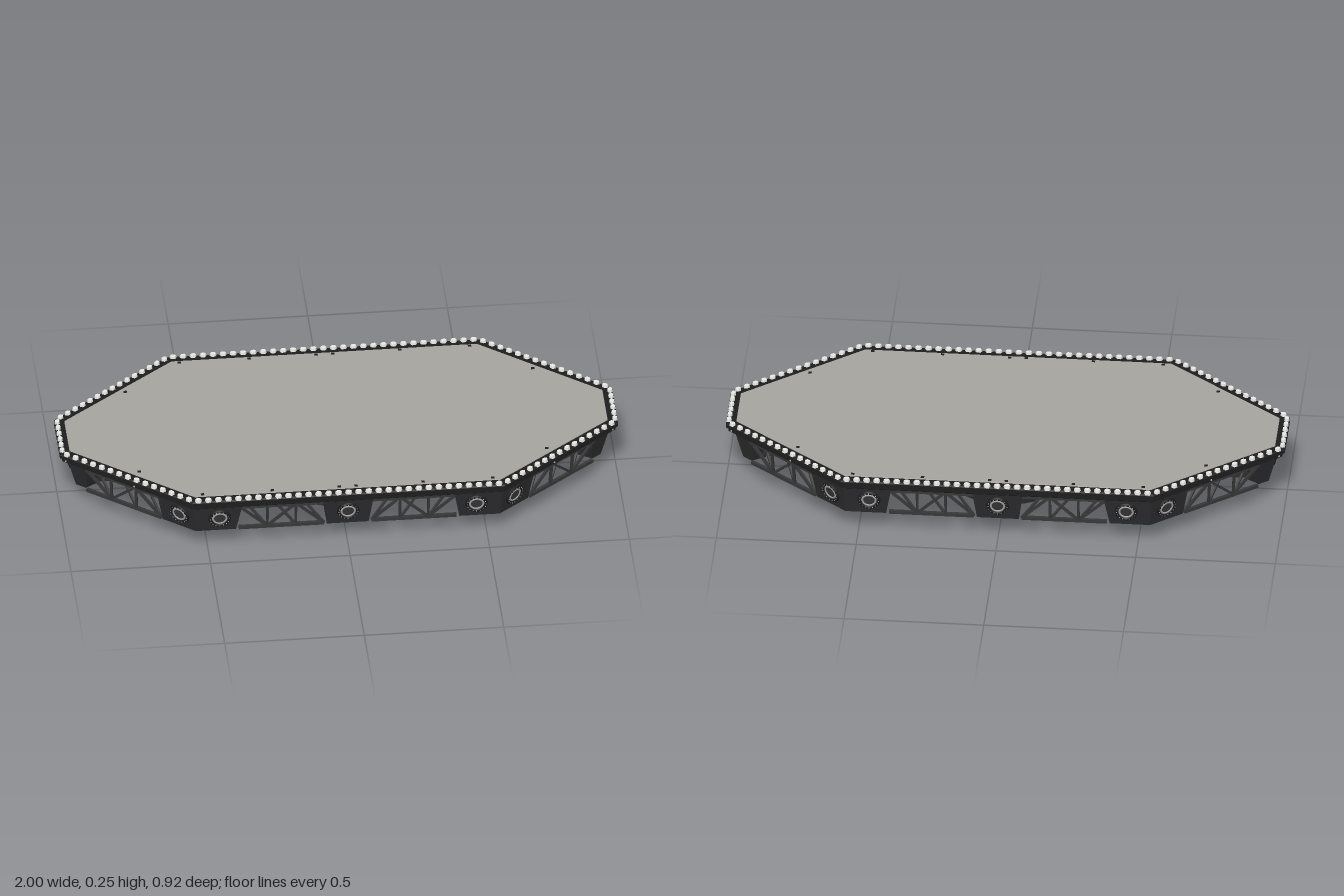
import * as THREE from 'three';
import { toCreasedNormals } from 'three/addons/utils/BufferGeometryUtils.js';

const mat = (name, color) => {
  const m = new THREE.MeshStandardMaterial({ color });
  m.name = name;
  return m;
};
const M = {
  deck: mat('deck grey', 0xa6a49e),
  rim: mat('rim black', 0x1e1e1f),
  body: mat('body charcoal', 0x2d2d2f),
  frame: mat('frame dark grey', 0x373738),
  metal: mat('ring metal', 0xa2a2a4),
  stud: mat('stud light grey', 0xe8e8e4),
  lens: mat('lens grey', 0xc0c0c0),
};

// Octagonal plan: front/back edges, ends and diagonals, all inset by d
const cornerF = d => [0.56 - 0.348 * d, 0.46 - d];
const cornerE = d => [1 - d, 0.11 - 0.481 * d];
const DIR = [0.783, -0.623]; // along the diagonal edge
const diag = (t, d) => {
  const c = cornerF(d);
  return [c[0] + DIR[0] * t, c[1] + DIR[1] * t];
};
const octagon = d => {
  const [a, b] = cornerF(d), [e, f] = cornerE(d);
  return [[a, b], [e, f], [e, -f], [a, -b], [-a, -b], [-e, -f], [-e, f], [-a, b]];
};

// Closed solid through plan outlines, listed bottom to top as [outline, y]
function loft(levels) {
  let rings = levels.map(([pts, y]) => pts.map(p => [p[0], y, p[1]]));
  const n = rings[0].length;
  let area = 0;
  rings[0].forEach((p, i, r) => {
    const q = r[(i + 1) % n];
    area += p[2] * q[0] - p[0] * q[2];
  });
  if (area < 0) rings = rings.map(r => [r[0], ...r.slice(1).reverse()]);
  const out = [];
  const tri = (...v) => v.forEach(p => out.push(...p));
  for (let k = 0; k < rings.length - 1; k++) {
    const b = rings[k], t = rings[k + 1];
    for (let i = 0; i < n; i++) {
      const j = (i + 1) % n;
      tri(b[i], b[j], t[j]);
      tri(b[i], t[j], t[i]);
    }
  }
  const lo = rings[0], hi = rings[rings.length - 1];
  for (let i = 1; i < n - 1; i++) {
    tri(hi[0], hi[i], hi[i + 1]);
    tri(lo[0], lo[i + 1], lo[i]);
  }
  const g = new THREE.BufferGeometry();
  g.setAttribute('position', new THREE.Float32BufferAttribute(out, 3));
  g.computeVertexNormals();
  return g;
}

function add(parent, name, geo, material, pos = [0, 0, 0]) {
  const m = new THREE.Mesh(geo, material);
  m.name = name;
  m.position.set(...pos);
  parent.add(m);
  return m;
}

function beam(parent, name, a, b, w) {
  const p = new THREE.Vector3(...a), q = new THREE.Vector3(...b);
  const m = add(parent, name, new THREE.BoxGeometry(w, w, p.distanceTo(q)), M.frame);
  m.position.copy(p).lerp(q, 0.5);
  m.lookAt(q);
}

const lathe = (pts, seg = 48) => toCreasedNormals(
  new THREE.LatheGeometry(pts.map(p => new THREE.Vector2(...p)), seg), 0.4);

// Round side nozzle looking outward along (nx, nz), tilted slightly down
function nozzle(parent, x, z, nx, nz) {
  const g = new THREE.Group();
  g.name = 'sideNozzle';
  g.position.set(x, 0.147, z);
  g.quaternion.setFromUnitVectors(new THREE.Vector3(0, 0, 1), new THREE.Vector3(nx, -0.21, nz).normalize());
  add(g, 'nozzleCollar', new THREE.TorusGeometry(0.034, 0.007, 8, 28), M.rim);
  add(g, 'nozzleRing', new THREE.TorusGeometry(0.024, 0.004, 8, 28), M.metal, [0, 0, 0.002]);
  const cup = add(g, 'nozzleCore', new THREE.CylinderGeometry(0.022, 0.022, 0.006, 24), M.frame);
  cup.rotation.x = Math.PI / 2;
  for (let i = 0; i < 16; i++) {
    const a = i * Math.PI / 8;
    add(g, 'nozzleBolt', new THREE.BoxGeometry(0.003, 0.003, 0.004), M.metal,
      [0.034 * Math.cos(a), 0.034 * Math.sin(a), 0.006]);
  }
  parent.add(g);
}

// Open truss panel between two ends, each a function of inset giving [x, z]
function truss(parent, start, end, panels) {
  const at = (s, d, y) => {
    const a = start(d), b = end(d);
    return [a[0] + (b[0] - a[0]) * s, y, a[1] + (b[1] - a[1]) * s];
  };
  const T = s => at(s, 0.03, 0.192), B = s => at(s, 0.045, 0.092);
  beam(parent, 'trussTopRail', T(0), T(1), 0.014);
  beam(parent, 'trussBottomRail', B(0), B(1), 0.012);
  for (let i = 0; i < panels; i++) {
    const s = i / panels, e = (i + 1) / panels;
    if (i) beam(parent, 'trussPost', T(s), B(s), 0.009);
    if (i % 2) beam(parent, 'trussBrace', T(s), B(e), 0.009);
    else beam(parent, 'trussBrace', B(s), T(e), 0.009);
    beam(parent, 'trussInnerBrace', B(s), at(e, 0.11, 0.195), 0.008);
  }
}

// Downward lift fan: flared neck, short drum and a lens underneath
function fan(parent, x, r, lensR, y, drop, neck, top) {
  const g = new THREE.Group();
  g.name = 'liftFan';
  g.position.x = x;
  add(g, 'fanHousing', lathe([[lensR - 0.01, y + 0.002], [r - 0.02, y], [r - 0.005, y + 0.01],
    [r, y + 0.046], [r - 0.008, y + 0.056], [neck, 0.09], [top, 0.2]]), M.body);
  const band = add(g, 'fanBand', new THREE.TorusGeometry(lensR + 0.003, 0.004, 8, 48), M.rim, [0, y + 0.001, 0]);
  band.rotation.x = Math.PI / 2;
  add(g, 'fanLens', new THREE.LatheGeometry([[0, -drop], [lensR * 0.56, -drop * 0.9], [lensR * 0.8, -drop * 0.4], [lensR, 0]]
    .map(([a, b]) => new THREE.Vector2(a, y + b)), 48), M.lens);
  parent.add(g);
}

export function createModel() {
  const root = new THREE.Group();
  root.name = 'hoverPlatform';

  // Deck: stepped edge with a lighter floor plate
  add(root, 'deckEdge', loft([[0.018, 0.198], [0.009, 0.205], [0.009, 0.219], [0, 0.222], [0, 0.234], [0.006, 0.238]]
    .map(([d, y]) => [octagon(d), y])), M.rim);
  add(root, 'deckFloor', loft([[octagon(0.035), 0.236], [octagon(0.037), 0.241]]), M.deck);

  // Light studs around the edge
  const outline = octagon(0.01);
  outline.forEach((p, i) => {
    const q = outline[(i + 1) % 8];
    const dx = q[0] - p[0], dz = q[1] - p[1], len = Math.hypot(dx, dz);
    const n = Math.round(len / 0.036);
    for (let k = 0; k < n; k++) {
      const s = (k + 0.5) / n;
      const stud = add(root, 'edgeStud', new THREE.CylinderGeometry(0.011, 0.0135, 0.011, 6), M.stud,
        [p[0] + dx * s, 0.2415, p[1] + dz * s]);
      stud.rotation.y = Math.atan2(-dz, dx) + Math.PI / 2;
      stud.scale.x = 0.8;
    }
  });

  for (const sz of [1, -1]) {
    // Middle module on the front and back edges
    const mid = (w, d0, d1) => [[-w, sz * (0.46 - d0)], [w, sz * (0.46 - d0)], [w, sz * (0.46 - d1)], [-w, sz * (0.46 - d1)]];
    add(root, 'middleModule', loft([[mid(0.075, 0.045, 0.12), 0.085], [mid(0.09, 0.02, 0.14), 0.2]]), M.body);
    nozzle(root, 0, sz * 0.43, 0, sz);
    add(root, 'middleDuct', new THREE.BoxGeometry(0.07, 0.08, 0.14), M.frame, [0, 0.15, sz * 0.26]);

    for (const sx of [1, -1]) {
      const flip = ([x, z]) => [sx * x, sz * z];
      // Bent module wrapping each corner
      const wrap = (d0, d1, x0, t1) => [cornerF(d0), diag(t1, d0), diag(t1, d1), cornerF(d1), [x0, 0.46 - d1], [x0, 0.46 - d0]].map(flip);
      add(root, 'cornerModule', loft([[wrap(0.045, 0.12, 0.4, 0.14), 0.085], [wrap(0.02, 0.14, 0.38, 0.155), 0.2]]), M.body);
      nozzle(root, sx * 0.46, sz * 0.43, 0, sz);
      const [nx, nz] = flip(diag(0.065, 0.031));
      nozzle(root, nx, nz, sx * 0.623, sz * 0.783);

      // Truss bays
      truss(root, d => flip([0.085, 0.46 - d]), d => flip([0.39, 0.46 - d]), 3);
      truss(root, d => flip(diag(0.145, d)), d => flip(diag(0.46, d)), 3);

      // Struts from the fans to the frame
      beam(root, 'fanStrut', [sx * 0.2, 0.17, sz * 0.1], [sx * 0.4, 0.17, sz * 0.36], 0.02);

      // Deck bolts and edge bolts
      for (const [x, z] of [[0.03, 0.413], [0.27, 0.413], [0.52, 0.413], [0.73, 0.25]])
        add(root, 'deckBolt', new THREE.BoxGeometry(0.012, 0.003, 0.01), M.rim, [sx * x, 0.2415, sz * z]);
      for (const t of [0.25, 0.54]) {
        const [bx, bz] = flip(diag(t, 0.009));
        add(root, 'edgeBolt', new THREE.SphereGeometry(0.004, 8, 6), M.metal, [bx, 0.211, bz]);
      }
    }
  }

  for (const sx of [1, -1]) {
    // End module wrapping both end corners
    const end = (d, x1, t) => {
      const e = cornerE(d), f = diag(t, d);
      return [[e[0], -e[1]], e, f, [x1, f[1] - 0.03], [x1, 0.03 - f[1]], [f[0], -f[1]]].map(([x, z]) => [sx * x, z]);
    };
    add(root, 'endModule', loft([[end(0.06, 0.86, 0.47), 0.085], [end(0.03, 0.84, 0.45), 0.2]]), M.body);
    add(root, 'endDuct', new THREE.BoxGeometry(0.1, 0.095, 0.2), M.body, [sx * 0.82, 0.152, 0]);
    nozzle(root, sx * 0.957, 0, sx, 0);
    fan(root, sx * 0.485, 0.175, 0.138, 0.056, 0.006, 0.16, 0.2);
  }
  fan(root, 0, 0.235, 0.165, 0.017, 0.017, 0.205, 0.29);
  return root;
}
